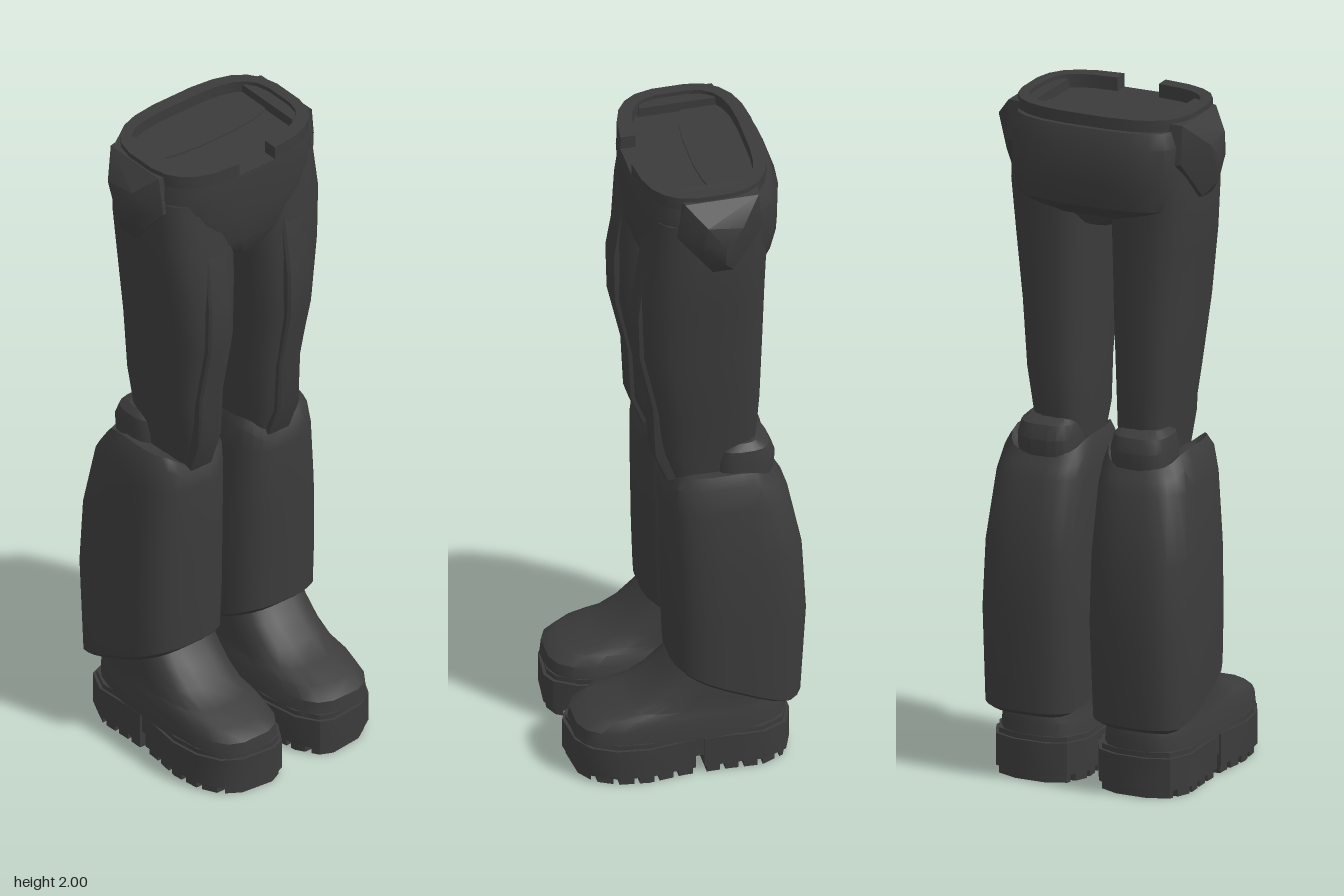
import * as THREE from 'three';
import { toCreasedNormals, mergeGeometries } from 'three/addons/utils/BufferGeometryUtils.js';
import { ConvexGeometry } from 'three/addons/geometries/ConvexGeometry.js';

const charcoal = new THREE.MeshStandardMaterial({ color: 0x3b3b3b });
charcoal.name = 'charcoal';

const clamp01 = (v) => Math.min(1, Math.max(0, v));

// Rounded-rectangle ring between x0..x1 and z0..z1; p sets how square it is
function ring(x0, x1, z0, z1, p = 3.4, n = 20) {
  const pts = [];
  for (let i = 0; i < n; i++) {
    const a = ((i + 0.5) / n) * Math.PI * 2;
    const c = Math.cos(a), s = Math.sin(a);
    pts.push([
      (x0 + x1) / 2 + ((x1 - x0) / 2) * Math.sign(c) * Math.abs(c) ** (2 / p),
      (z0 + z1) / 2 + ((z1 - z0) / 2) * Math.sign(s) * Math.abs(s) ** (2 / p),
    ]);
  }
  return pts;
}

// Closed skin over sections [y, x0, x1, z0, z1, yRule(x, z)], from bottom to top
function loft(sections, p = 3.4, n = 20) {
  const pos = [], idx = [];
  for (const [y, x0, x1, z0, z1, rule] of sections) {
    for (const [x, z] of ring(x0, x1, z0, z1, p, n)) pos.push(x, rule ? rule(x, z) : y, z);
  }
  const last = sections.length - 1;
  for (let i = 0; i < last; i++) {
    for (let j = 0; j < n; j++) {
      const a = i * n + j, b = i * n + ((j + 1) % n);
      idx.push(a, a + n, b, b, a + n, b + n);
    }
  }
  for (const [k, top] of [[0, false], [last, true]]) {
    const o = pos.length / 3;
    let y = 0;
    for (let j = 0; j < n; j++) y += pos[(k * n + j) * 3 + 1] / n;
    const [, x0, x1, z0, z1] = sections[k];
    pos.push((x0 + x1) / 2, y, (z0 + z1) / 2);
    for (let j = 0; j < n; j++) {
      const a = k * n + j, b = k * n + ((j + 1) % n);
      if (top) idx.push(o, b, a); else idx.push(o, a, b);
    }
  }
  const g = new THREE.BufferGeometry();
  g.setAttribute('position', new THREE.Float32BufferAttribute(pos, 3));
  g.setIndex(idx);
  return g;
}

// Make a mesh with creased normals, mirrored to the right side when side is -1
function part(name, geometry, side = 1) {
  let g = geometry.index ? geometry.toNonIndexed() : geometry.clone();
  if (side < 0) {
    const p = g.attributes.position;
    const v = [0, 1, 2].map(() => new THREE.Vector3());
    for (let i = 0; i < p.count; i += 3) {
      v.forEach((q, k) => q.fromBufferAttribute(p, i + k));
      [0, 2, 1].forEach((from, k) => p.setXYZ(i + k, -v[from].x, v[from].y, v[from].z));
    }
  }
  g = toCreasedNormals(g, 0.55);
  const mesh = new THREE.Mesh(g, charcoal);
  mesh.name = name;
  return mesh;
}

// Flat slab: a plan outline of [x, z] points raised from y0 to y1
function slab(points, y0, y1) {
  const shape = new THREE.Shape(points.map(([x, z]) => new THREE.Vector2(x, -z)));
  const g = new THREE.ExtrudeGeometry(shape, { depth: y1 - y0, bevelEnabled: false });
  return g.rotateX(-Math.PI / 2).translate(0, y0, 0);
}

// Keep the piece of an outline between two z values
function slice(points, z0, z1) {
  for (const [limit, sign] of [[z0, 1], [z1, -1]]) {
    const out = [];
    points.forEach((a, i) => {
      const b = points[(i + 1) % points.length];
      const da = (a[1] - limit) * sign, db = (b[1] - limit) * sign;
      if (da >= 0) out.push(a);
      if (da * db < 0) {
        const t = da / (da - db);
        out.push([a[0] + (b[0] - a[0]) * t, limit]);
      }
    });
    points = out;
  }
  return points;
}

const soleOutline = [
  [0.01, 0.14], [0.03, 0.26], [0.07, 0.325], [0.11, 0.343], [0.215, 0.332], [0.27, 0.297],
  [0.305, 0.23], [0.317, 0.14], [0.303, 0.03], [0.303, -0.1], [0.308, -0.2], [0.275, -0.27],
  [0.21, -0.295], [0.11, -0.295], [0.05, -0.27], [0.015, -0.2], [0.02, -0.1], [0.02, 0.02],
];

function soleGeometry() {
  const inset = soleOutline.map(([x, z]) => [0.16 + (x - 0.16) * 0.95, 0.024 + (z - 0.024) * 0.97]);
  const pieces = [
    slab(slice(soleOutline, 0, 0.35), 0.025, 0.12),
    slab(slice(soleOutline, -0.3, -0.025), 0.025, 0.12),
    slab(inset, 0.06, 0.135),
  ];
  // Tread bars under the forefoot and the heel
  for (const [start, end, count] of [[0, 0.345, 6], [-0.296, -0.025, 5]]) {
    const step = (end - start) / count;
    for (let i = 0; i < count; i++) {
      pieces.push(slab(slice(inset, start + i * step + 0.008, start + (i + 1) * step - 0.008), 0, 0.026));
    }
  }
  return mergeGeometries(pieces);
}

// Raised waistband, open at the front notch
function waistband() {
  const gap = 0.065;
  const keep = (pts) => {
    const n = pts.length, start = Math.round(n / 4);
    const open = pts.map((_, i) => pts[(start + i) % n]).filter(([x, z]) => !(z > 0 && Math.abs(x) < gap + 0.01));
    const z = Math.max(...pts.map((q) => q[1]));
    return [[-gap, z], ...open, [gap, z]];
  };
  const outer = keep(ring(-0.272, 0.272, -0.255, 0.13, 3, 24));
  const inner = keep(ring(-0.24, 0.24, -0.215, 0.085, 3.4, 24));
  return slab([...outer, ...inner.reverse()], 1.95, 2);
}

export function createModel() {
  const model = new THREE.Group();
  model.name = 'armouredLegs';

  // Pelvis
  model.add(part('pelvis', loft([
    [1.655, -0.06, 0.06, -0.2, 0.09],
    [1.72, -0.19, 0.19, -0.225, 0.118],
    [1.82, -0.278, 0.278, -0.24, 0.125],
    [1.92, -0.28, 0.28, -0.26, 0.132],
    [1.96, -0.272, 0.272, -0.255, 0.13],
  ], 3, 24)));
  model.add(part('seat', loft([
    [1.69, -0.23, 0.23, -0.225, -0.05],
    [1.73, -0.25, 0.25, -0.268, -0.05],
    [1.8, -0.26, 0.26, -0.285, -0.05],
    [1.92, -0.262, 0.262, -0.288, -0.05],
    [1.965, -0.25, 0.25, -0.27, -0.05],
  ], 2.7)));
  model.add(part('waistband', waistband()));

  // Faceted hip guard
  const hip = [];
  for (const [x, y, z] of [
    [0.2, 1.99, 0.04], [0.2, 1.99, -0.2], [0.2, 1.87, 0.06], [0.2, 1.87, -0.215], [0.2, 1.75, -0.03], [0.2, 1.75, -0.13],
    [0.275, 1.985, 0.025], [0.275, 1.985, -0.19], [0.275, 1.87, 0.045], [0.275, 1.87, -0.2],
    [0.3, 1.755, -0.05], [0.3, 1.755, -0.11], [0.33, 1.93, -0.03], [0.335, 1.92, -0.13],
    [0.345, 1.86, -0.08], [0.325, 1.86, -0.015], [0.335, 1.8, -0.08],
  ]) hip.push(new THREE.Vector3(x, y, z));
  const hipGuard = new ConvexGeometry(hip);

  const thigh = loft([
    [0.93, 0.06, 0.205, -0.18, 0.035],
    [1.05, 0.05, 0.212, -0.212, 0.08],
    [1.2, 0.045, 0.236, -0.22, 0.088],
    [1.4, 0.036, 0.252, -0.226, 0.128],
    [1.6, 0.03, 0.274, -0.23, 0.13],
    [1.76, 0.025, 0.289, -0.235, 0.118],
    [1.9, 0.03, 0.28, -0.24, 0.1],
  ], 3);
  const thighRidge = loft([
    [0.95, 0.1, 0.185, -0.05, 0.055],
    [1.05, 0.103, 0.187, -0.05, 0.094],
    [1.22, 0.105, 0.187, -0.05, 0.102],
    [1.4, 0.102, 0.188, -0.05, 0.142],
    [1.55, 0.1, 0.188, -0.05, 0.146],
    [1.75, 0.1, 0.18, -0.05, 0.115],
  ], 9, 12);
  const kneeBand = loft([
    [0.92, 0.06, 0.235, -0.25, -0.08],
    [1.01, 0.058, 0.235, -0.262, -0.08],
    [1.05, 0.065, 0.228, -0.245, -0.09],
    [1.068, 0.08, 0.21, -0.21, -0.12],
  ], 3);

  // Shin guard: hem rises to the front, collar dips at front and back
  const hem = (lift) => (x, z) => 0.2 + lift + 0.14 * clamp01((z + 0.27) / 0.31);
  const collar = (y) => (x, z) => y - 0.055 * clamp01((z - 0.0) / 0.05) * clamp01(1.5 - Math.abs(x - 0.145) / 0.07)
    - 0.04 * clamp01((-0.17 - z) / 0.07);
  const shinGuard = loft([
    [0, 0.03, 0.312, -0.305, 0.04, hem(0)],
    [0, 0.013, 0.327, -0.325, 0.055, hem(0.015)],
    [0.5, 0.008, 0.33, -0.342, 0.06],
    [0.7, 0.01, 0.324, -0.332, 0.064],
    [0.9, 0.016, 0.305, -0.292, 0.068],
    [0, 0.022, 0.29, -0.272, 0.064, collar(0.975)],
    [0, 0.034, 0.27, -0.25, 0.048, collar(1.008)],
    [0, 0.055, 0.245, -0.225, 0.02, collar(0.985)],
  ], 3.2, 24);

  const bootUpper = loft([
    [0.125, 0.018, 0.308, -0.286, 0.333],
    [0.172, 0.024, 0.304, -0.284, 0.328],
    [0.2, 0.035, 0.296, -0.28, 0.285],
    [0.215, 0.038, 0.292, -0.272, 0.2],
    [0.25, 0.038, 0.29, -0.265, 0.13],
    [0.3, 0.038, 0.288, -0.26, 0.07],
    [0.36, 0.04, 0.285, -0.255, 0.02],
  ], 3.2);
  const sole = soleGeometry();

  for (const side of [1, -1]) {
    const leg = new THREE.Group();
    leg.name = side > 0 ? 'leftLeg' : 'rightLeg';
    const parts = { hipGuard, thigh, thighRidge, kneeBand, shinGuard, bootUpper, sole };
    for (const [name, geometry] of Object.entries(parts)) leg.add(part(name, geometry, side));
    model.add(leg);
  }
  return model;
}
